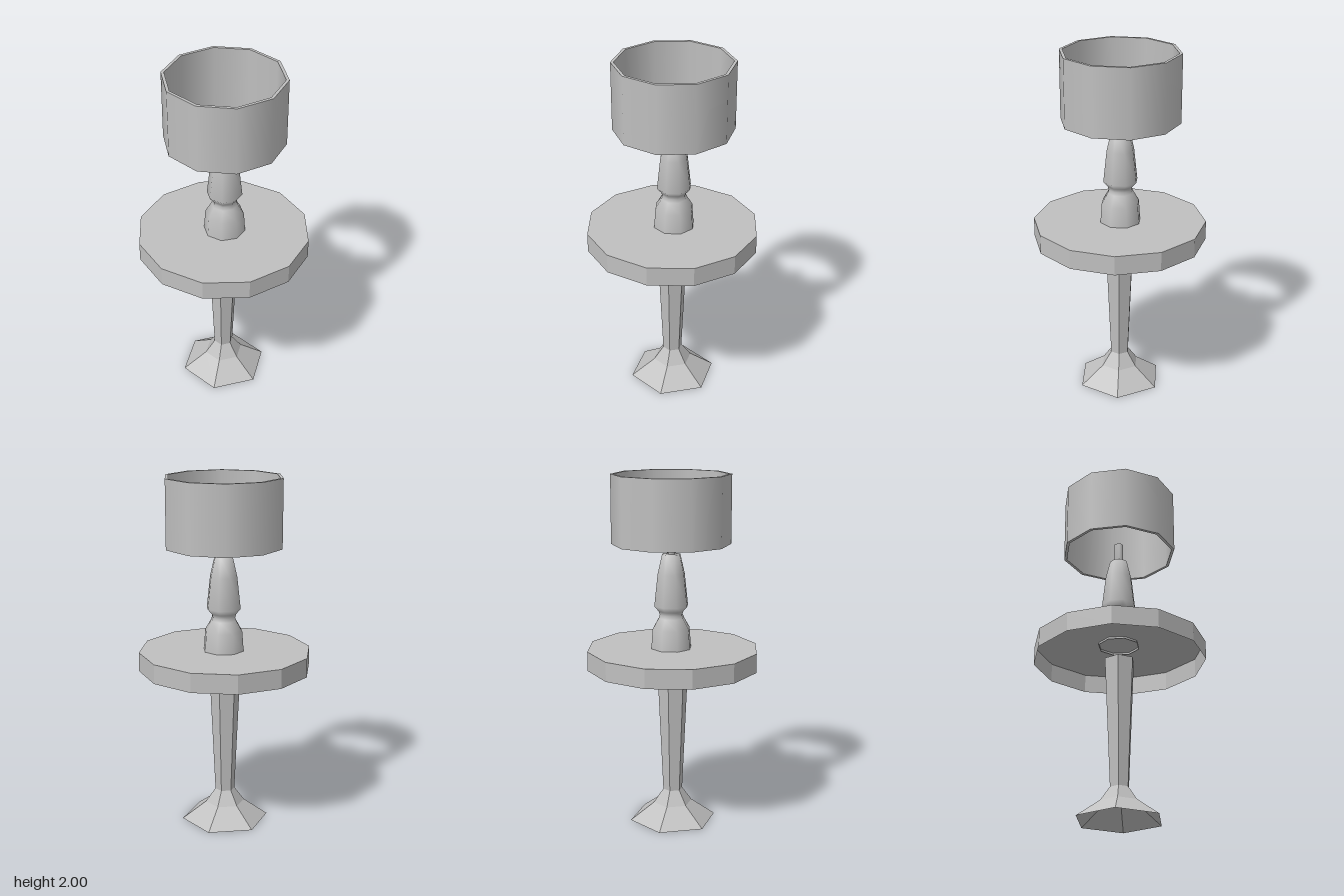
import * as THREE from 'three';
import { mergeGeometries } from 'three/addons/utils/BufferGeometryUtils.js';

// Faceted turned surface: profile [radius, y] from bottom to top,
// with one corner at the given angle from +x towards +z.
function turn(profile, sides, degrees = 0) {
  const points = profile.map(([r, y]) => new THREE.Vector2(r, y));
  const start = Math.PI / 2 - THREE.MathUtils.degToRad(degrees);
  return new THREE.LatheGeometry(points, sides, start);
}

function flat(geometry) {
  const g = geometry.toNonIndexed();
  g.computeVertexNormals();
  return g;
}

export function createModel() {
  const model = new THREE.Group();
  const grey = new THREE.MeshStandardMaterial({ color: 0xc0c0c0, side: THREE.DoubleSide });
  grey.name = 'plain grey';

  const add = (name, geometry, parent = model) => {
    const mesh = new THREE.Mesh(geometry, grey);
    mesh.name = name;
    parent.add(mesh);
    return mesh;
  };

  // Six-sided pedestal with a flared foot, open at both ends
  add('pedestal', flat(turn([[0.25, 0], [0.112, 0.1], [0.056, 0.18], [0.09, 0.925]], 6)));

  // Twelve-sided table top, a shell open underneath
  add('tableTop', flat(turn([[0.487, 0.918], [0.487, 1.027], [0, 1.027]], 12)));

  // Lamp stands slightly behind the middle of the table
  const lamp = new THREE.Group();
  lamp.name = 'lamp';
  lamp.position.z = -0.009;
  model.add(lamp);

  // Smooth body with a waist and a softly shaded top, open at the bottom
  const body = [
    [0.118, 1.015], [0.109, 1.14], [0.074, 1.2], [0.067, 1.22],
    [0.073, 1.24], [0.099, 1.27], [0.079, 1.45], [0.053, 1.56], [0, 1.56],
  ];
  add('lampBody', turn(body, 8, 10), lamp);

  // Square stem reaching into the shade
  add('lampStem', turn([[0.0245, 1.55], [0.0245, 1.685], [0, 1.685]], 4, 19), lamp);

  // Hollow ten-sided shade: wall, rim, lining, lower rim
  const outer = 0.332, inner = 0.315, low = 1.617, high = 2;
  const loop = [[outer, low], [outer, high], [inner, high], [inner, low]];
  const strips = loop.map((p, i) => turn([p, loop[(i + 1) % 4]], 10));
  add('lampShade', mergeGeometries(strips), lamp);

  return model;
}
